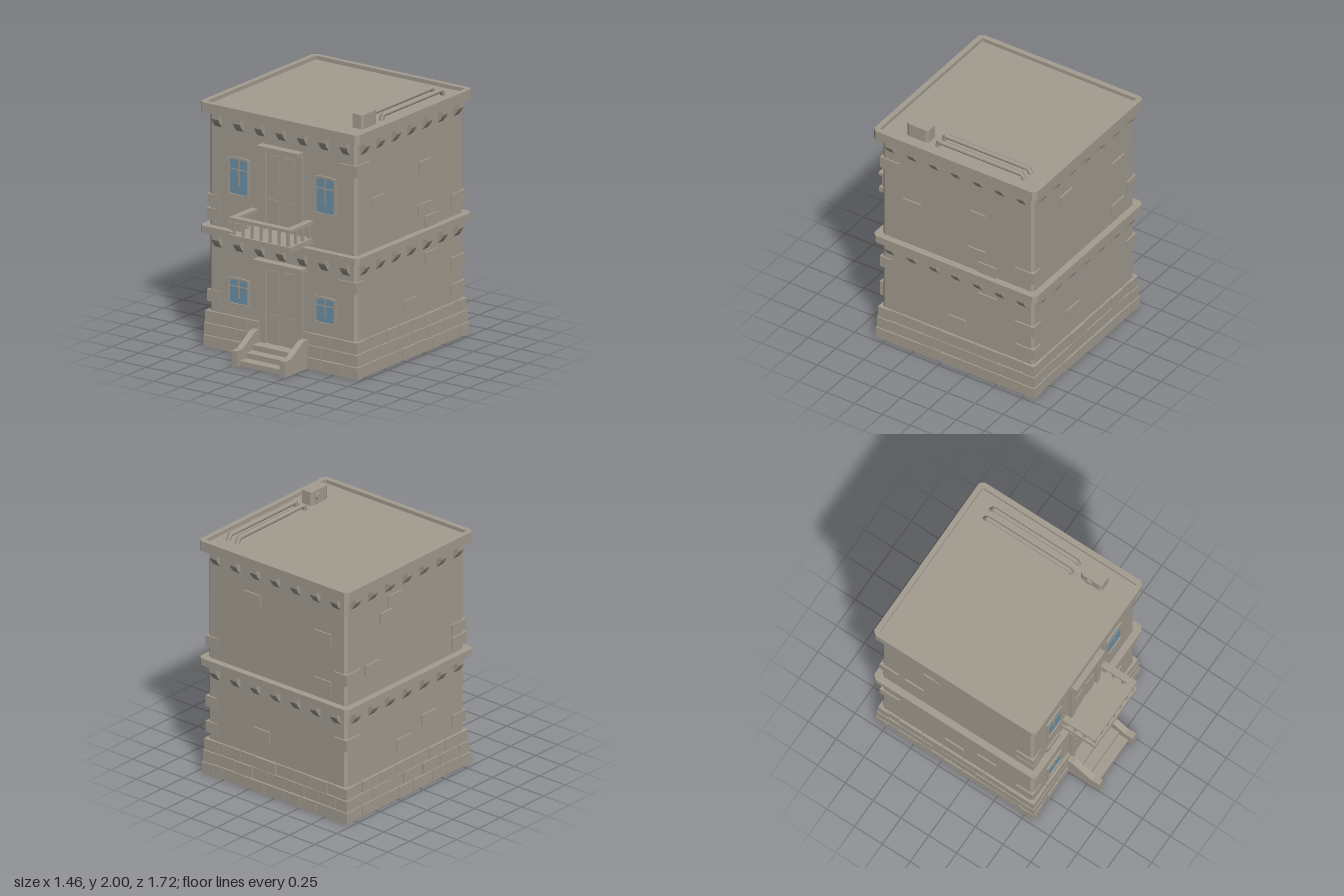
import * as THREE from 'three';

const ZC = -0.127;   // centre of the square house plan
const R = 0.678;     // wall half width
const stone = new THREE.MeshStandardMaterial({ color: 0xa39c90 });
stone.name = 'stone';
const glass = new THREE.MeshStandardMaterial({ color: 0x6e90a6 });
glass.name = 'window glass';

function add(parent, name, geo, x = 0, y = 0, z = 0, mat = stone) {
  const m = new THREE.Mesh(geo, mat);
  m.name = name;
  m.position.set(x, y, z);
  parent.add(m);
  return m;
}

// Box given by its extents
function box(parent, name, x0, x1, y0, y1, z0, z1, mat = stone) {
  return add(parent, name, new THREE.BoxGeometry(x1 - x0, y1 - y0, z1 - z0),
    (x0 + x1) / 2, (y0 + y1) / 2, (z0 + z1) / 2, mat);
}

// Square with cut corners
function cutSquare(h, c) {
  return [[-h + c, -h], [h - c, -h], [h, -h + c], [h, h - c], [h - c, h], [-h + c, h], [-h, h - c], [-h, -h + c]]
    .map(([x, y]) => new THREE.Vector2(x, y));
}

// Horizontal slab or ring, from y0 to y1
function slab(parent, name, half, cut, y0, y1, inner = 0) {
  const s = new THREE.Shape(cutSquare(half, cut));
  if (inner) s.holes.push(new THREE.Path(cutSquare(inner, 0.005)));
  const g = new THREE.ExtrudeGeometry(s, { depth: y1 - y0, bevelEnabled: false });
  g.rotateX(-Math.PI / 2);
  return add(parent, name, g, 0, y0, ZC);
}

// Profile in (z, y), extruded along x
function prism(points, width) {
  const s = new THREE.Shape(points.map(([z, y]) => new THREE.Vector2(z, y)));
  const g = new THREE.ExtrudeGeometry(s, { depth: width, bevelEnabled: false });
  g.translate(0, 0, -width / 2);
  g.rotateY(-Math.PI / 2);
  return g;
}

// Slightly bowed window outline
function bowed(w, h, bow, Type) {
  const p = new Type();
  p.moveTo(-w / 2, -h / 2);
  p.quadraticCurveTo(0, -h / 2 - bow, w / 2, -h / 2);
  p.lineTo(w / 2, h / 2);
  p.quadraticCurveTo(0, h / 2 + bow, -w / 2, h / 2);
  p.closePath();
  return p;
}

function windowUnit(parent, x, y, w, h) {
  const g = new THREE.Group();
  g.name = 'window';
  g.position.set(x, y, ZC + R);
  parent.add(g);
  const s = bowed(w, h, 0.016, THREE.Shape);
  s.holes.push(bowed(w - 0.03, h - 0.03, 0.012, THREE.Path));
  add(g, 'windowFrame', new THREE.ExtrudeGeometry(s, { depth: 0.014, bevelEnabled: false, curveSegments: 6 }));
  add(g, 'windowPane', new THREE.ExtrudeGeometry(bowed(w - 0.03, h - 0.03, 0.012, THREE.Shape),
    { depth: 0.004, bevelEnabled: false, curveSegments: 6 }), 0, 0, 0, glass);
  const bar = h * 0.19;
  box(g, 'windowBar', -w / 2 + 0.015, w / 2 - 0.015, bar - 0.004, bar + 0.004, 0, 0.008);
  box(g, 'windowBar', -0.006, 0.006, -h * 0.25, h / 2 - 0.01, 0, 0.008);
}

function doorUnit(parent, y0, y1, lintel) {
  const g = new THREE.Group();
  g.name = 'door';
  g.position.z = ZC + R;
  parent.add(g);
  box(g, 'doorLeaf', -0.145, 0.145, y0, y1, -0.01, 0.005);
  for (const s of [-1, 1]) {
    box(g, 'doorPost', s * 0.17 - 0.025, s * 0.17 + 0.025, y0, y1, -0.01, 0.024);
    const h = (y1 - y0) / 2;
    for (let i = 0; i < 2; i++)
      box(g, 'doorPanel', s * 0.07 - 0.045, s * 0.07 + 0.045, y0 + i * h + 0.05, y0 + (i + 1) * h - 0.04, 0, 0.012);
  }
  box(g, 'doorLintel', -lintel, lintel, y1, y1 + 0.035, -0.01, 0.068);
}

// Loose wall bricks per side: [offset, y, width]
const BRICKS = [
  [[0.61, 1.615, 0.15], [0.6, 0.7, 0.17], [-0.41, 0.965, 0.17], [-0.66, 1.15, 0.06], [-0.65, 1.04, 0.08]],
  [[-0.6, 1.615, 0.165], [-0.407, 1.315, 0.165], [0.188, 1.445, 0.14], [0.178, 1.11, 0.165], [0.268, 1.0, 0.165],
    [0.603, 1.085, 0.165], [0.273, 0.715, 0.165], [-0.645, 0.7, 0.09], [0.603, 0.59, 0.165], [0.603, 0.38, 0.165],
    [-0.002, 0.405, 0.165]],
  [[-0.24, 1.57, 0.165], [0.45, 1.46, 0.165], [0.45, 1.07, 0.165], [-0.15, 0.47, 0.165], [-0.645, 1.085, 0.09],
    [-0.645, 0.59, 0.09], [-0.645, 0.38, 0.09], [0.63, 1.17, 0.12], [0.63, 0.63, 0.12]],
  [[-0.123, 1.65, 0.165], [-0.223, 1.54, 0.14], [-0.383, 1.17, 0.165], [0.267, 0.53, 0.165], [0.61, 0.4, 0.15],
    [-0.023, 0.43, 0.165], [-0.6, 1.17, 0.16], [-0.6, 0.63, 0.165], [0.61, 1.04, 0.15], [0.61, 1.15, 0.15]],
];

let seed = 7;
const rand = () => (seed = (seed * 16807) % 2147483647) / 2147483647;

// One row of base stones, leaving the doorway clear at the front
function stoneRow(side, row, isFront) {
  const end = 0.712 - row * 0.006;
  let x = -end;
  let next = row % 2 ? 0.1 : 0.19;
  while (x < end - 0.01) {
    let x1 = x + next;
    if (end - x1 < 0.08) x1 = end;
    next = 0.15 + rand() * 0.07;
    const out = 0.712 - row * 0.006 - rand() * 0.008;
    let a = x, b = x1;
    if (isFront) {
      if (a < 0) b = Math.min(b, -0.2); else a = Math.max(a, 0.2);
    }
    if (b - a > 0.02)
      box(side, 'baseStone', a, b - (b < end ? 0.007 : 0), row * 0.095, row * 0.095 + 0.091, 0.6, out);
    x = x1;
  }
}

export function createModel() {
  const house = new THREE.Group();
  house.name = 'house';

  // Hollow walls, ledge and roof
  slab(house, 'walls', R, 0.02, 0, 1.86, 0.64);
  slab(house, 'middleLedge', 0.732, 0.03, 0.895, 0.953, 0.65);
  slab(house, 'roof', 0.732, 0.03, 1.84, 1.89);
  slab(house, 'roofRim', 0.732, 0.03, 1.89, 1.92, 0.69);

  // Four sides: corbels, loose bricks and base stones
  const corbel = prism([[-0.02, 0], [0.045, 0], [0.045, -0.04], [0.03, -0.07], [0, -0.105], [-0.02, -0.105]], 0.066);
  for (let k = 0; k < 4; k++) {
    const side = new THREE.Group();
    side.name = 'side';
    side.position.z = ZC;
    side.rotation.y = k * Math.PI / 2;
    house.add(side);
    for (const top of [0.895, 1.84])
      for (let i = -3; i <= 3; i++) add(side, 'corbel', corbel, i * 0.197, top, R);
    for (const [u, y, w] of BRICKS[k])
      box(side, 'wallBrick', u - w / 2, u + w / 2, y - 0.046, y + 0.046, R - 0.1, R + 0.012);
    for (let row = 0; row < 3; row++) stoneRow(side, row, k === 0);
  }

  // Windows and doors
  for (const s of [-1, 1]) {
    windowUnit(house, s * 0.4, 1.375, 0.195, 0.295);
    windowUnit(house, s * 0.4, 0.475, 0.195, 0.205);
  }
  doorUnit(house, 0.05, 0.745, 0.225);
  doorUnit(house, 0.95, 1.645, 0.19);

  // Balcony
  const balcony = new THREE.Group();
  balcony.name = 'balcony';
  house.add(balcony);
  box(balcony, 'balconyFloor', -0.28, 0.28, 0.98, 1.022, 0.54, 0.845);
  box(balcony, 'frontRail', -0.285, 0.285, 1.135, 1.158, 0.79, 0.845);
  const post = new THREE.BoxGeometry(0.02, 0.12, 0.02);
  for (let i = -3; i <= 3; i++) add(balcony, 'baluster', post, i * 0.083, 1.08, 0.822);
  for (const s of [-1, 1]) {
    box(balcony, 'sideRail', s * 0.257 - 0.026, s * 0.257 + 0.026, 1.135, 1.158, 0.54, 0.8);
    for (const z of [0.57, 0.65, 0.735]) add(balcony, 'baluster', post, s * 0.257, 1.08, z);
  }

  // Entrance steps between sloping side walls
  const stairs = new THREE.Group();
  stairs.name = 'entranceSteps';
  house.add(stairs);
  const cheek = prism([[0.53, 0], [0.857, 0], [0.857, 0.125], [0.79, 0.125], [0.62, 0.225], [0.53, 0.225]], 0.05);
  for (const s of [-1, 1]) add(stairs, 'stepSideWall', cheek, s * 0.222, 0, 0);
  [0.82, 0.74, 0.66].forEach((z, i) =>
    box(stairs, 'step', -0.2, 0.2, i * 0.042, (i + 1) * 0.042, 0.53, z));

  // Roof pipes, bent down at both ends
  for (const x of [0.505, 0.592]) {
    const path = new THREE.CurvePath();
    const pts = [[1.88, 0.11], [1.932, 0.1], [1.932, -0.65], [1.88, -0.675]]
      .map(([y, z]) => new THREE.Vector3(x, y, z));
    for (let i = 0; i < 3; i++) path.add(new THREE.LineCurve3(pts[i], pts[i + 1]));
    add(house, 'roofPipe', new THREE.TubeGeometry(path, 40, 0.019, 8));
  }

  // Roof vent with a small side cap
  slab(house, 'roofVent', 0.053, 0.012, 1.88, 2).scale.z = 1.8;
  house.children[house.children.length - 1].position.set(0.557, 1.88, 0.28);
  const cap = add(house, 'ventCap', new THREE.CylinderGeometry(0.03, 0.03, 0.02, 12), 0.5, 1.95, 0.26);
  cap.rotation.z = Math.PI / 2;

  return house;
}
